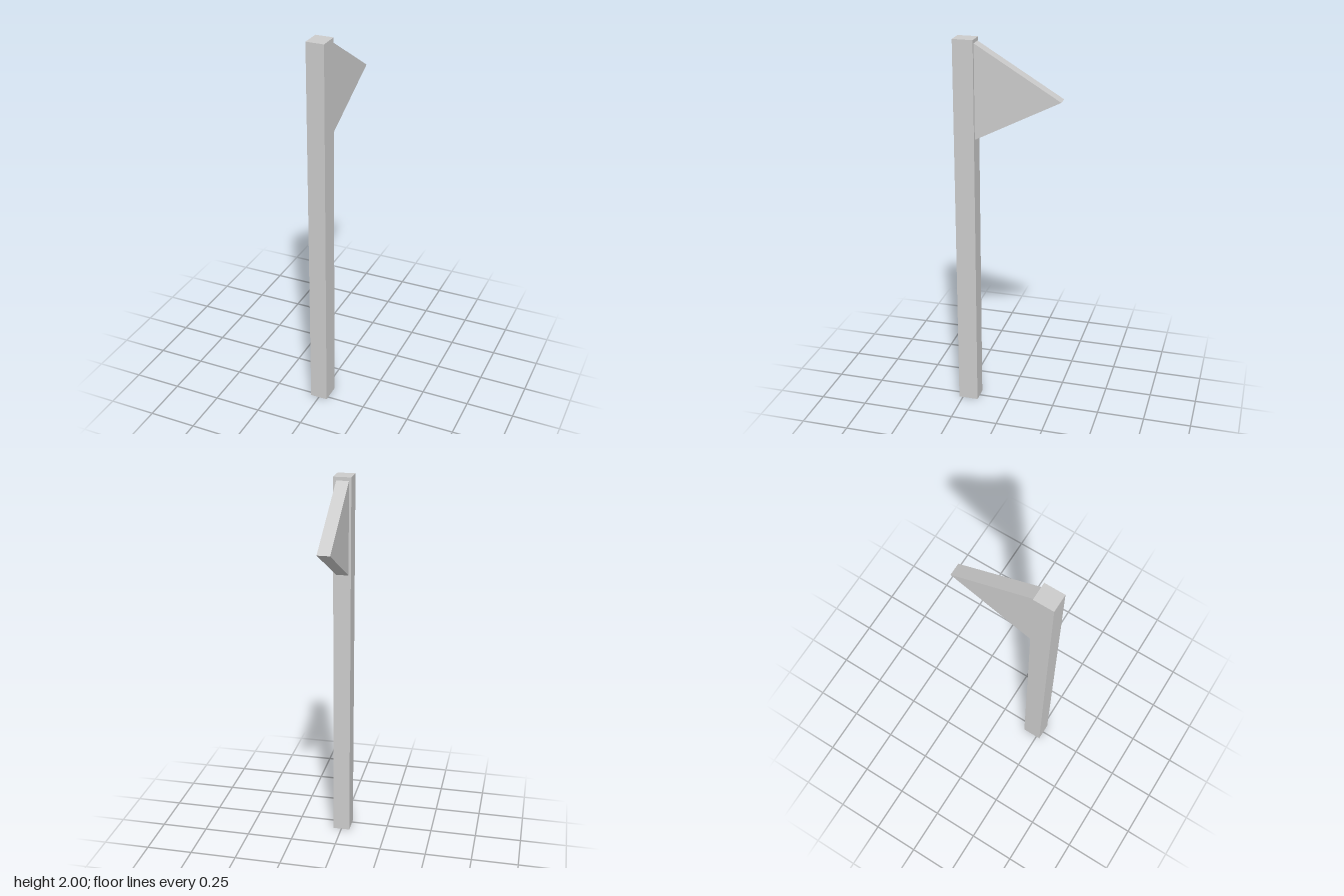
import * as THREE from 'three';

export function createModel() {
  const group = new THREE.Group();
  const material = new THREE.MeshStandardMaterial({ color: 0xcccccc, flatShading: true });

  // Square upright pole
  const pole = new THREE.Mesh(new THREE.BoxGeometry(0.092, 2, 0.105), material);
  pole.name = 'pole';
  pole.position.set(0, 1, 0.218);
  group.add(pole);

  // Thick triangular pennant, drawn in (-z, y) and turned to point backwards
  const outline = new THREE.Shape([
    new THREE.Vector2(-0.166, 1.497),
    new THREE.Vector2(0.271, 1.72),
    new THREE.Vector2(-0.166, 1.982),
  ]);
  const geometry = new THREE.ExtrudeGeometry(outline, { depth: 0.065, bevelEnabled: false });
  geometry.rotateY(Math.PI / 2);
  const pennant = new THREE.Mesh(geometry, material);
  pennant.name = 'pennant';
  pennant.position.x = -0.034;
  group.add(pennant);

  return group;
}
